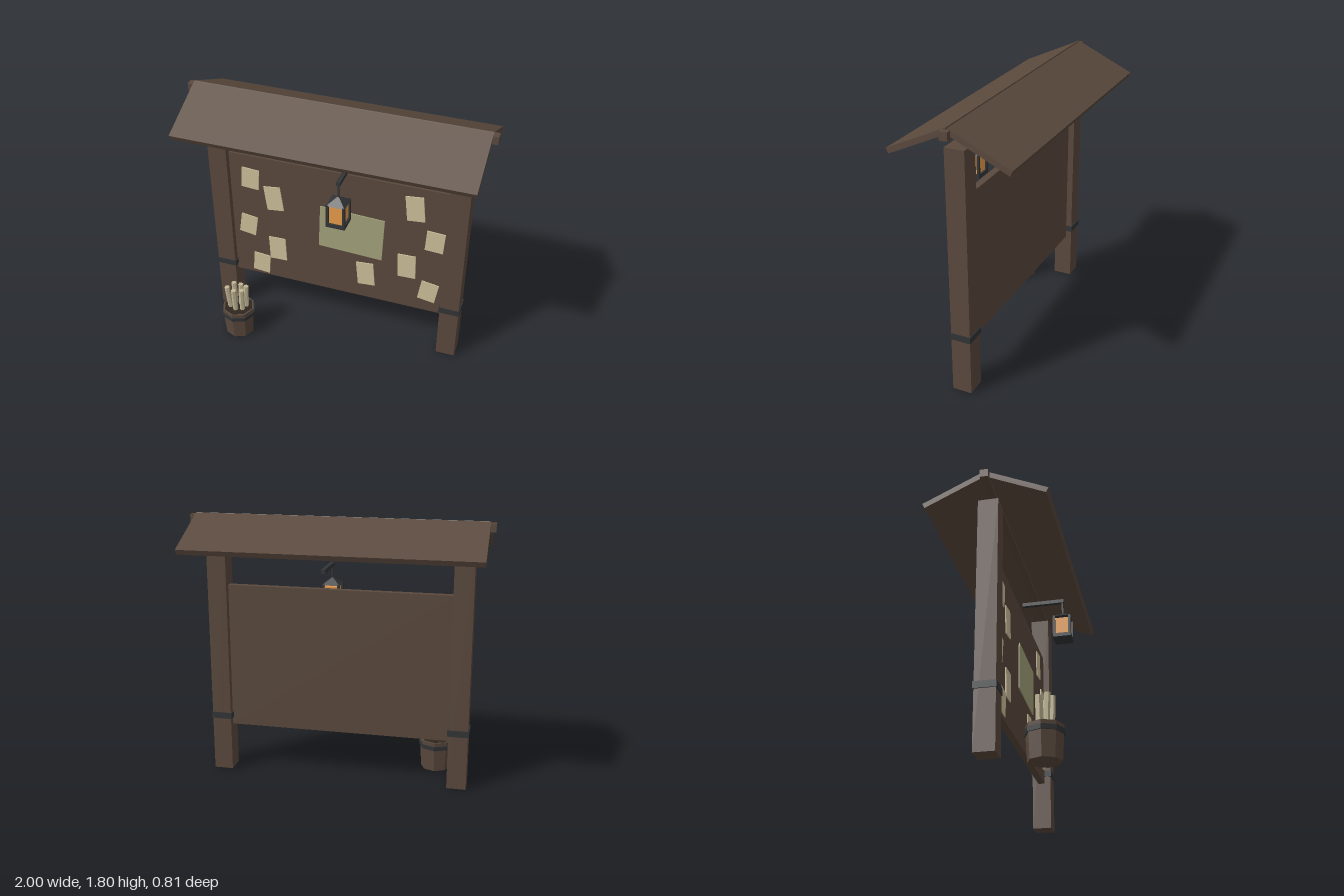
import * as THREE from 'three';

const mat = (name, color) => {
  const m = new THREE.MeshStandardMaterial({ color });
  m.name = name;
  return m;
};

export function createModel() {
  const wood = mat('dark wood', 0x5a493d);
  const soil = mat('bucket inside', 0x30261f);
  const metal = mat('dark iron', 0x323436);
  const paper = mat('paper', 0xcdbf9a);
  const green = mat('green map', 0xa3a37c);
  const scroll = mat('scroll parchment', 0xc2b795);
  const glow = mat('lantern glow', 0xe89c4a);
  const flat = [wood, soil, metal, scroll, glow];
  flat.forEach((m) => { m.flatShading = true; });

  const model = new THREE.Group();
  model.name = 'noticeBoard';
  const add = (parent, name, geo, material, x, y, z) => {
    const mesh = new THREE.Mesh(geo, material);
    mesh.name = name;
    mesh.position.set(x, y, z);
    parent.add(mesh);
    return mesh;
  };
  const box = (parent, name, material, w, h, d, x, y, z) =>
    add(parent, name, new THREE.BoxGeometry(w, h, d), material, x, y, z);

  const zc = -0.008; // depth centre of the frame

  // Posts with iron bands
  for (const s of [-1, 1]) {
    box(model, 'post', wood, 0.13, 1.645, 0.13, s * 0.82, 0.8225, zc);
    box(model, 'postBand', metal, 0.143, 0.043, 0.141, s * 0.82, 0.397, zc);
  }

  // Board between the posts
  box(model, 'board', wood, 1.514, 0.995, 0.046, 0, 0.8225, zc);

  // Ridge beam and two roof slabs, each hung from its top edge
  box(model, 'ridgeBeam', wood, 2, 0.053, 0.053, 0, 1.76, zc);
  const pitch = THREE.MathUtils.degToRad(25);
  for (const s of [-1, 1]) {
    const geo = new THREE.BoxGeometry(1.93, 0.036, 0.43);
    geo.translate(0, -0.018, s * 0.215);
    add(model, 'roofSlab', geo, wood, 0, 1.797, zc - 0.002 + s * 0.006).rotation.x = s * pitch;
  }

  // Pinned notices: x, y, width, height, tilt in degrees
  const notices = [
    [-0.607, 1.142, 0.124, 0.156, -4], [-0.444, 1.013, 0.12, 0.187, 7],
    [-0.642, 0.751, 0.12, 0.157, -9], [-0.43, 0.588, 0.123, 0.187, 2],
    [-0.559, 0.428, 0.123, 0.157, -5], [0.214, 0.535, 0.122, 0.187, 5],
    [0.535, 1.16, 0.12, 0.187, 6], [0.679, 0.928, 0.123, 0.157, -3],
    [0.5, 0.679, 0.123, 0.187, 2], [0.658, 0.497, 0.122, 0.157, -9],
  ];
  const pin = (name, material, [x, y, w, h, tilt]) => {
    box(model, name, material, w, h, 0.007, x, y, 0.0185)
      .rotation.z = THREE.MathUtils.degToRad(tilt);
  };
  notices.forEach((n) => pin('notice', paper, n));
  pin('map', green, [0.107, 0.858, 0.448, 0.33, -2.2]);

  // Lantern on its arm
  const lantern = new THREE.Group();
  lantern.name = 'lantern';
  lantern.position.set(0.107, 0, 0.28);
  model.add(lantern);
  box(lantern, 'lanternArm', metal, 0.027, 0.026, 0.295, 0, 1.432, -0.1375);
  box(lantern, 'lanternRod', metal, 0.011, 0.1, 0.011, 0, 1.375, 0);
  const cap = new THREE.CylinderGeometry(0.008, 0.088, 0.045, 4);
  cap.rotateY(Math.PI / 4);
  add(lantern, 'lanternCap', cap, metal, 0, 1.3125, 0);
  box(lantern, 'lanternGlass', glow, 0.1, 0.122, 0.1, 0, 1.219, 0);
  box(lantern, 'lanternBase', metal, 0.124, 0.026, 0.124, 0, 1.145, 0);
  for (const x of [-1, 1]) {
    for (const z of [-1, 1]) {
      box(lantern, 'lanternCorner', metal, 0.017, 0.15, 0.017, x * 0.0535, 1.22, z * 0.0535);
    }
  }

  // Eight-sided bucket
  const bucket = new THREE.Group();
  bucket.name = 'bucket';
  bucket.position.set(-0.642, 0, 0.283);
  model.add(bucket);
  add(bucket, 'bucketBody', new THREE.CylinderGeometry(0.115, 0.102, 0.214, 8), wood, 0, 0.107, 0);
  add(bucket, 'bucketBand', new THREE.CylinderGeometry(0.12, 0.119, 0.03, 8), metal, 0, 0.173, 0);
  add(bucket, 'bucketInside', new THREE.CylinderGeometry(0.102, 0.102, 0.004, 8), soil, 0, 0.214, 0);

  // Rolled scrolls leaning outward: base x, z and top x, z
  const up = new THREE.Vector3(0, 1, 0);
  const scrolls = [
    [-0.045, 0.02, -0.062, 0.03], [-0.03, -0.025, -0.036, -0.03], [-0.002, 0.04, -0.004, 0.05],
    [0.012, -0.02, 0.016, -0.03], [0.04, 0.025, 0.048, 0.03], [0.05, -0.015, 0.06, -0.02],
  ];
  for (const [bx, bz, tx, tz] of scrolls) {
    const a = new THREE.Vector3(bx, 0.15, bz);
    const b = new THREE.Vector3(tx, 0.394, tz);
    const dir = b.clone().sub(a);
    const mid = a.clone().add(b).multiplyScalar(0.5);
    const geo = new THREE.CylinderGeometry(0.018, 0.018, dir.length(), 6);
    add(bucket, 'scroll', geo, scroll, mid.x, mid.y, mid.z)
      .quaternion.setFromUnitVectors(up, dir.normalize());
  }

  return model;
}
